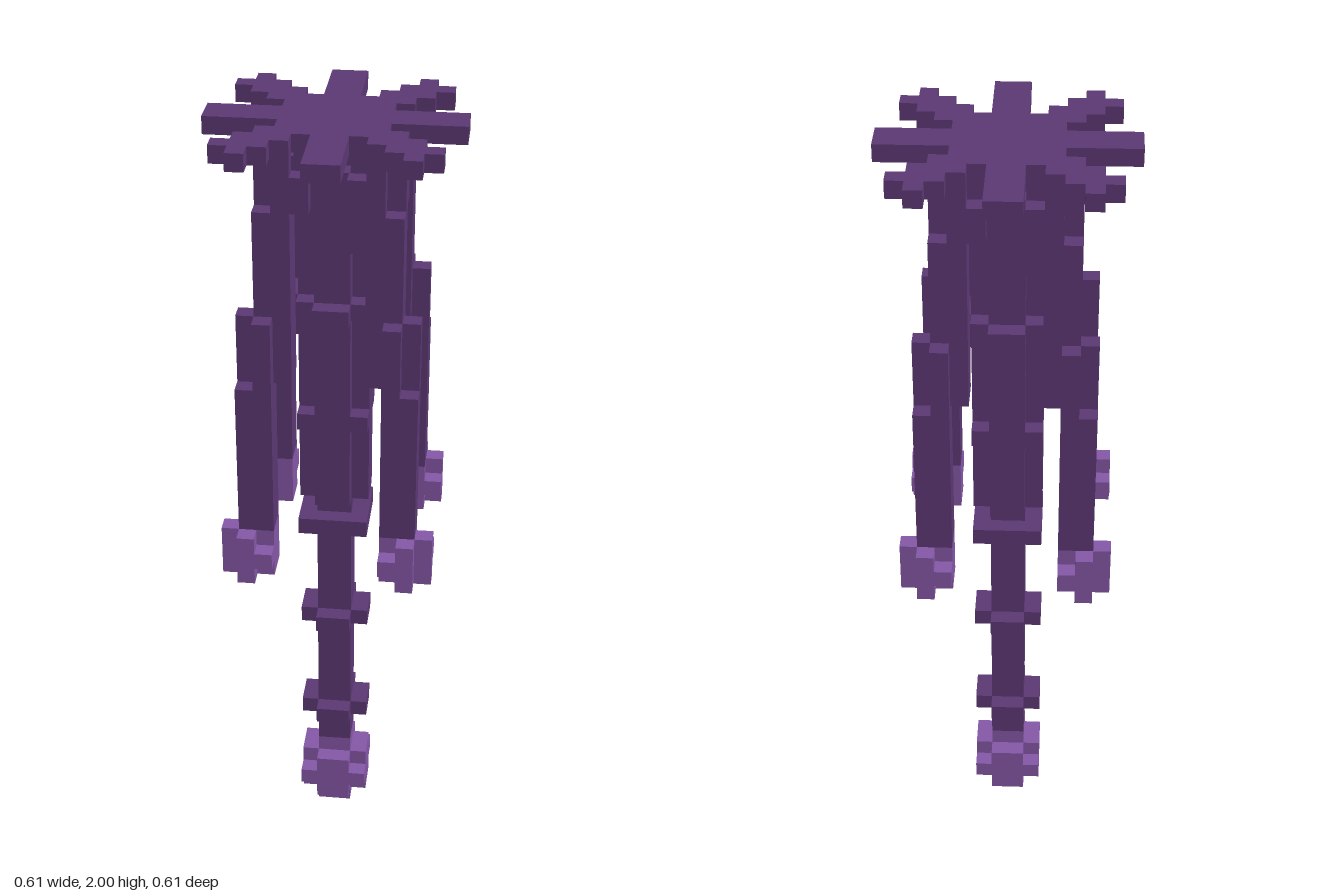
import * as THREE from 'three';

const U = 2 / 46; // one block

export function createModel() {
  const model = new THREE.Group();
  const darkPurple = new THREE.MeshStandardMaterial({ color: 0x5d3874 });
  const lightPurple = new THREE.MeshStandardMaterial({ color: 0x8658a8 });

  // Box given by its limits in blocks
  function box(parent, name, mat, [x0, x1], [y0, y1], [z0, z1]) {
    const g = new THREE.BoxGeometry((x1 - x0) * U, (y1 - y0) * U, (z1 - z0) * U);
    g.translate((x0 + x1) / 2 * U, (y0 + y1) / 2 * U, (z0 + z1) / 2 * U);
    const mesh = new THREE.Mesh(g, mat);
    mesh.name = name;
    parent.add(mesh);
  }
  // Box centred on the axis, with half widths
  const centred = (name, mat, hx, y, hz) => box(model, name, mat, [-hx, hx], y, [-hz, hz]);
  // Plus-shaped section: two crossing boxes
  function cross(name, mat, long, short, y) {
    centred(name, mat, long, y, short);
    centred(name, mat, short, y, long);
  }

  // Star-shaped crown
  const top = [45, 46];
  cross('crownPetals', darkPurple, 7, 1, top);
  centred('crownPlate', darkPurple, 3, top, 3);

  // Central stem, thicker towards the crown
  centred('stem', darkPurple, 1, [5, 45], 1);
  cross('upperStem', darkPurple, 2, 1, [23, 45]);
  centred('stemHead', darkPurple, 2, [39, 45], 2);
  cross('stemCollar', darkPurple, 3, 1, [42, 44]);

  // Rings along the stem
  for (const y of [7, 14]) cross('smallRing', darkPurple, 2, 1, [y, y + 1]);
  for (const y of [21, 28, 35]) centred('squareRing', darkPurple, 2, [y, y + 1], 2);
  cross('wideRing', darkPurple, 3, 1, [35, 36]);

  // Rounded bulb at the foot
  centred('bulbCore', lightPurple, 1.002, [0, 5], 1.002);
  cross('bulbSides', lightPurple, 2, 1, [1, 4]);
  centred('bulbMiddle', lightPurple, 2, [2, 3], 2);

  // Four corner tentacles with their part of the crown
  for (let i = 0; i < 4; i++) {
    const arm = new THREE.Group();
    arm.name = 'tentacle' + (i + 1);
    arm.rotation.y = i * Math.PI / 2;
    model.add(arm);
    // Adds a part and its mirror across the diagonal
    const pair = (name, mat, a, y, b) => {
      box(arm, name, mat, a, y, b);
      box(arm, name, mat, b, y, a);
    };

    // Crown corner
    pair('crownEdge', darkPurple, [2, 3], top, [3, 4]);
    box(arm, 'crownCorner', darkPurple, [3, 5], top, [3, 5]);
    pair('crownPoint', darkPurple, [4, 5], top, [5, 6]);

    // Braces beneath the crown
    pair('brace', darkPurple, [1, 2], [42, 44], [3, 4]);

    // Upper and lower segments, joined by side prongs
    box(arm, 'upperSegment', darkPurple, [2, 4], [32, 42], [2, 4]);
    pair('upperProng', darkPurple, [2, 3], [42, 45], [3, 4]);
    box(arm, 'lowerSegment', darkPurple, [3, 5], [23, 32], [3, 5]);
    pair('lowerProng', darkPurple, [3, 4], [32, 36], [4, 5]);

    // Light club at the end
    box(arm, 'clubCore', lightPurple, [3, 5], [20, 23], [3, 5]);
    pair('clubSide', lightPurple, [4, 5], [20, 23], [5, 6]);
    pair('clubTip', lightPurple, [3, 4], [21, 22], [5, 6]);
  }
  return model;
}
